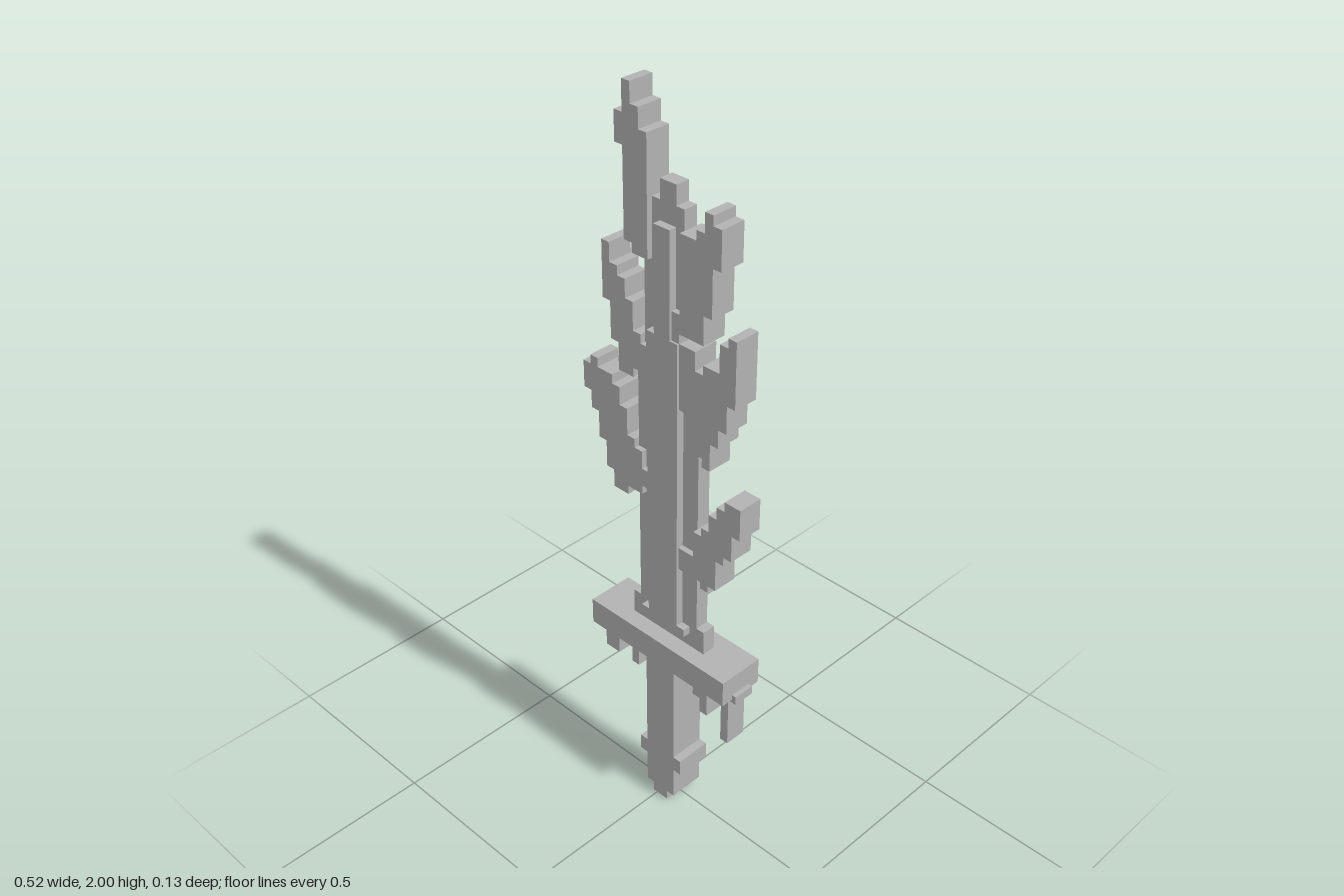
import * as THREE from 'three';

const U = 2 / 81; // one grid cell
const X0 = 10.5;  // grid column lying on x = 0

export function createModel() {
  const model = new THREE.Group();
  model.name = 'leafSword';
  const grey = new THREE.MeshStandardMaterial({ color: 0xb2b2b2 });
  grey.name = 'plain grey';

  // Box given in cell coordinates, with half depth in units
  function box(name, x0, x1, y0, y1, halfZ) {
    const mesh = new THREE.Mesh(
      new THREE.BoxGeometry((x1 - x0) * U, (y1 - y0) * U, halfZ * 2), grey);
    mesh.position.set(((x0 + x1) / 2 - X0) * U, (y0 + y1) / 2 * U, 0);
    mesh.name = name;
    model.add(mesh);
  }

  // Stepped plate: one [bottom, top] pair per cell column
  function steppedPlate(name, start, columns, halfZ) {
    const top = [], bottom = [];
    columns.forEach(([lo, hi], i) => {
      for (const x of [start + i, start + i + 1]) {
        const px = (x - X0) * U;
        top.push(new THREE.Vector2(px, hi * U));
        bottom.push(new THREE.Vector2(px, lo * U));
      }
    });
    const points = [...bottom, ...top.reverse()]
      .filter((p, i, all) => i === 0 || !p.equals(all[i - 1]));
    const geometry = new THREE.ExtrudeGeometry(new THREE.Shape(points),
      { depth: halfZ * 2, bevelEnabled: false });
    geometry.translate(0, 0, -halfZ);
    const mesh = new THREE.Mesh(geometry, grey);
    mesh.name = name;
    model.add(mesh);
  }

  // Handle and pommel
  box('handle', 9, 13, 1.2, 20, 0.05);
  box('pommelBand', 8, 14, 5.1, 7, 0.05);
  box('pommelTip', 10, 12, 0, 1.2, 0.05);

  // Guard with hanging roots
  box('guard', 1.5, 20.5, 19.7, 22.7, 0.065);
  const roots = [
    [2, 4, 16], [5, 6, 19.2], [6, 7, 16], [15, 16, 17],
    [16, 17, 15.2], [18, 19, 18.4], [19, 20, 13.3],
  ];
  for (const [x0, x1, y0] of roots) box('root', x0, x1, y0, 20, 0.03);
  box('guardNub', 20, 21, 19.3, 20.3, 0.03);

  // Thin blade with a raised ridge on both faces
  box('bladeFoot', 6, 16, 22.7, 25.5, 0.019);
  steppedPlate('blade', 7, [
    [23, 53], [23, 65], [23, 71], [23, 73],
    [23, 73], [23, 71], [23, 58], [23, 58],
  ], 0.019);
  box('ridgeFoot', 8, 14, 24.3, 25.2, 0.04);
  box('ridge', 9, 13, 25.2, 58, 0.04);
  box('ridgeTip', 10, 12, 58, 69, 0.04);

  // Stepped leaves, from top to bottom on each side
  const leaves = {
    rightTopLeaf: [5, [[75, 78], [66, 81], [65, 79], [65, 77]]],
    rightMiddleLeaf: [3, [[59, 65], [55, 63], [52, 62], [52, 60], [53, 57], [53, 56]]],
    rightLowerLeaf: [0, [[48, 51], [46, 52], [43, 51], [40, 51], [38, 50],
      [38, 48], [39, 45], [39, 44], [40, 42]]],
    leftTopLeaf: [12, [[58, 61], [59, 69], [59, 69], [59, 70], [62, 72], [67, 71]]],
    leftMiddleLeaf: [13, [[51, 58], [50, 58], [47, 56], [46, 57], [49, 57],
      [51, 60], [54, 61]]],
    leftLowerLeaf: [13, [[32.4, 35], [32.4, 35], [32.4, 38], [31.6, 39], [32.4, 41],
      [36, 42.4], [37, 43.5], [40, 43.5]]],
  };
  for (const [name, [start, columns]] of Object.entries(leaves)) {
    steppedPlate(name, start, columns, 0.034);
  }
  return model;
}
